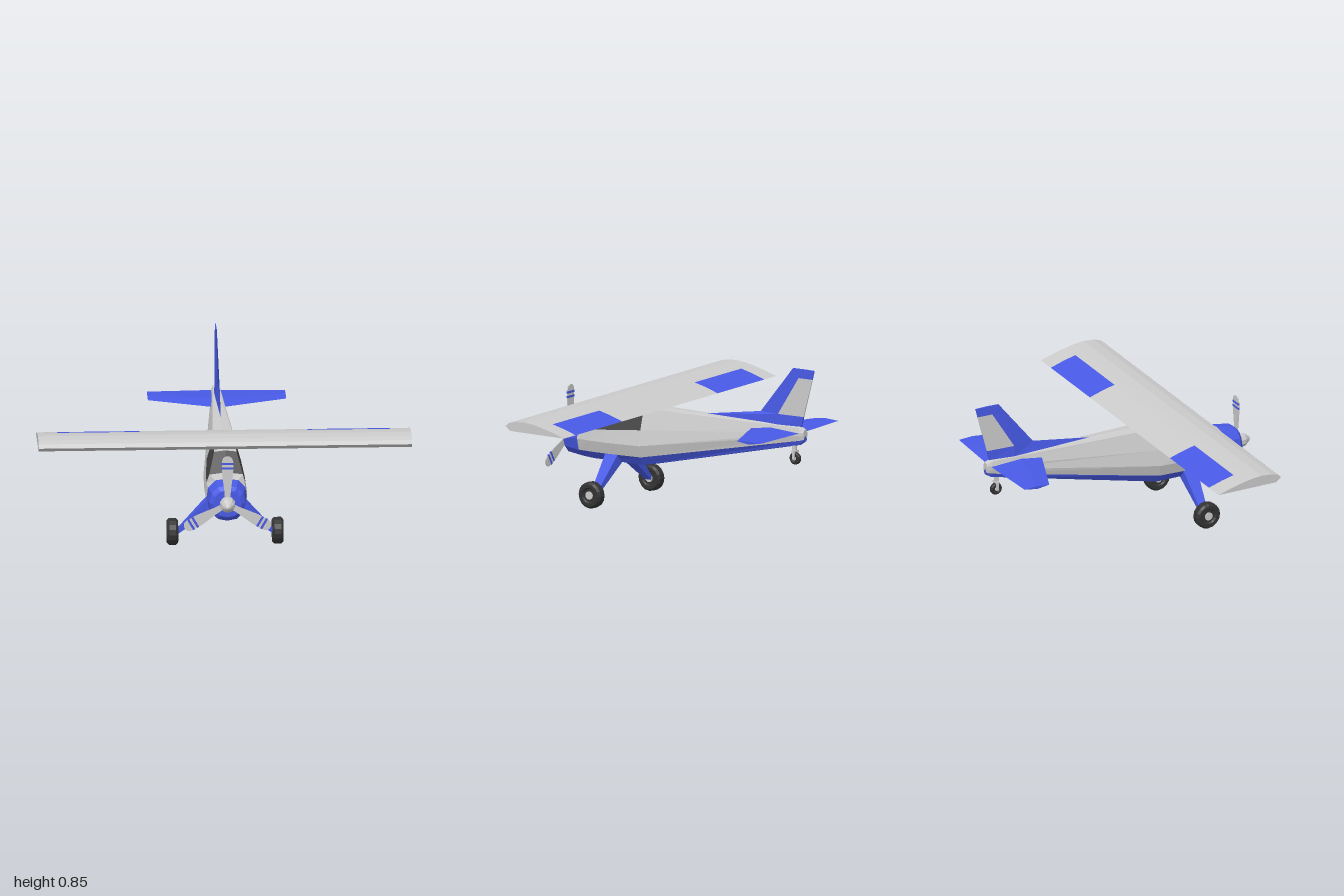
import * as THREE from 'three';

const mat = (color) => new THREE.MeshStandardMaterial({ color, flatShading: true });
const GREY = mat(0xcccccc), BLUE = mat(0x485ae6), GLASS = mat(0x444444), TYRE = mat(0x333333);

function add(parent, name, geometry, material, x = 0, y = 0, z = 0) {
  const m = new THREE.Mesh(geometry, material);
  m.name = name;
  m.position.set(x, y, z);
  parent.add(m);
  return m;
}

// Skin a row of closed rings, cap both ends, and split the faces by material.
function loft(name, rings, paint) {
  const buckets = new Map();
  let volume = 0;
  const tri = (material, a, b, c) => {
    if (!buckets.has(material)) buckets.set(material, []);
    buckets.get(material).push([a, b, c]);
    volume += a.dot(b.clone().cross(c));
  };
  const n = rings[0].length;
  for (let i = 0; i < rings.length - 1; i++) {
    for (let j = 0; j < n; j++) {
      const k = (j + 1) % n, p = rings[i], q = rings[i + 1], m = paint(i, j);
      tri(m, p[j], p[k], q[k]);
      tri(m, p[j], q[k], q[j]);
    }
  }
  const last = rings.length - 1;
  for (const [ring, i, flip] of [[rings[0], 0, true], [rings[last], last - 1, false]]) {
    const mid = ring.reduce((s, p) => s.add(p), new THREE.Vector3()).divideScalar(n);
    for (let j = 0; j < n; j++) {
      const a = ring[j], b = ring[(j + 1) % n];
      tri(paint(i, j), mid, flip ? b : a, flip ? a : b);
    }
  }
  const group = new THREE.Group();
  group.name = name;
  for (const [material, tris] of buckets) {
    const pts = tris.flatMap(([a, b, c]) => (volume < 0 ? [a, c, b] : [a, b, c]));
    const g = new THREE.BufferGeometry().setFromPoints(pts);
    g.computeVertexNormals();
    add(group, name + 'Skin', g, material);
  }
  return group;
}

const V = (x, y, z) => new THREE.Vector3(x, y, z);

// Half sections run bottom, bottom edge, stripe edge, side, sill, shoulder, top.
function fuselage() {
  const stations = [
    [0.755, [[0, .25], [.04, .258], [.065, .285], [.075, .325], [.064, .365], [.04, .393], [0, .4]]],
    [0.735, [[0, .225], [.05, .235], [.085, .27], [.098, .325], [.085, .378], [.05, .412], [0, .42]]],
    [0.64, [[0, .215], [.055, .224], [.092, .262], [.108, .325], [.1, .382], [.062, .422], [0, .431]]],
    [0.56, [[0, .212], [.06, .22], [.095, .262], [.113, .325], [.105, .385], [.09, .43], [0, .442]]],
    [0.47, [[0, .212], [.06, .22], [.095, .262], [.113, .325], [.103, .393], [.06, .53], [0, .537]]],
    [0.24, [[0, .212], [.06, .22], [.09, .266], [.108, .33], [.092, .415], [.058, .53], [0, .537]]],
    [-0.74, [[0, .435], [.012, .438], [.02, .46], [.025, .487], [.025, .505], [.018, .53], [0, .537]]],
    [-0.77, [[0, .455], [.008, .457], [.016, .468], [.018, .487], [.018, .505], [.012, .52], [0, .523]]],
  ];
  const rings = stations.map(([z, half]) => [
    ...half.map(([x, y]) => V(x, y, z)),
    ...half.slice(1, -1).reverse().map(([x, y]) => V(-x, y, z)),
  ]);
  return loft('fuselage', rings, (i, j) => {
    const row = Math.min(j, 11 - j);
    if (i < 2 || row < 2) return BLUE;
    if ((row === 4 && (i === 3 || i === 4)) || (row === 5 && i === 3)) return GLASS;
    return GREY;
  });
}

// Flat-bottomed wing with coloured ailerons on its upper face.
function wing() {
  const foil = [[.49, .565], [.47, .583], [.43, .593], [.37, .598], [.31, .592], [.26, .582],
    [.19, .565], [.11, .54], [.46, .541]];
  const rings = [-1, -.89, -.45, .45, .89, 1].map((x) => foil.map(([z, y]) => V(x, y, z)));
  return loft('wing', rings, (i, j) => ((i === 1 || i === 3) && (j === 5 || j === 6) ? BLUE : GREY));
}

function tailplane() {
  const ring = (x, front, crest, back, up, down) =>
    [V(x, .5, front), V(x, up, crest), V(x, .502, back), V(x, down, crest)];
  const rings = [-.37, 0, .37].map((x) =>
    x ? ring(x, -.58, -.65, -.73, .507, .49) : ring(x, -.43, -.56, -.747, .515, .482));
  return loft('tailplane', rings, () => BLUE);
}

// Fin stations: height, leading edge, rudder hinge, trailing edge, half thickness.
function fin() {
  const rings = [
    [.53, -.09, -.6, -.745, .016], [.59, -.48, -.6, -.76, .013],
    [.8, -.65, -.73, -.817, .007], [.85, -.69, -.755, -.83, .005],
  ].map(([y, front, hinge, back, t]) =>
    [V(0, y, front), V(t, y, hinge), V(t * .3, y, back), V(-t * .3, y, back), V(-t, y, hinge)]);
  return loft('fin', rings, (i, j) => (i === 1 && j > 0 && j < 4 ? GREY : BLUE));
}

// Three striped blades around a pointed spinner.
function propeller() {
  const group = new THREE.Group();
  group.name = 'propeller';
  group.position.set(0, .325, .757);
  const profile = [[0, -.01], [.042, -.01], [.042, .01], [.036, .045], [.014, .075], [0, .083]];
  const cone = new THREE.LatheGeometry(profile.map((p) => new THREE.Vector2(...p)), 10);
  add(group, 'spinner', cone.rotateX(Math.PI / 2), GREY);
  const half = [[.014, .02], [.018, .08], [.03, .17], [.031, .235], [.024, .256], [.01, .265]];
  const outline = [...half, ...half.map(([x, y]) => [-x, y]).reverse()];
  const shape = new THREE.Shape(outline.map((p) => new THREE.Vector2(...p)));
  const bladeGeo = new THREE.ExtrudeGeometry(shape, { depth: .006, bevelEnabled: false }).translate(0, 0, -.003);
  for (let i = 0; i < 3; i++) {
    const blade = new THREE.Group();
    blade.name = 'blade';
    blade.rotation.z = (i * Math.PI * 2) / 3;
    add(blade, 'bladeBody', bladeGeo, GREY);
    for (const r of [.2, .225]) add(blade, 'bladeStripe', new THREE.BoxGeometry(.063, .012, .008), BLUE, 0, r, 0);
    group.add(blade);
  }
  return group;
}

// Tyre with rounded shoulders and a pale hub, axle along x.
function wheel(name, radius, width) {
  const group = new THREE.Group();
  group.name = name;
  const w = width / 2;
  const profile = [[0, -w * .7], [.5, -w * .7], [.6, -w], [.85, -w], [1, -w * .6],
    [1, w * .6], [.85, w], [.6, w], [.5, w * .7], [0, w * .7]];
  const tyre = new THREE.LatheGeometry(profile.map(([r, y]) => new THREE.Vector2(r * radius, y)), 16);
  add(group, 'tyre', tyre.rotateZ(Math.PI / 2), TYRE);
  const hub = new THREE.CylinderGeometry(radius * .32, radius * .32, width * .9, 10);
  add(group, 'hub', hub.rotateZ(Math.PI / 2), GREY);
  return group;
}

function mainGear(side) {
  const group = new THREE.Group();
  group.name = side > 0 ? 'leftMainGear' : 'rightMainGear';
  const ring = (x1, y1, x2, y2, z1, z2) =>
    [V(side * x1, y1, z1), V(side * x1, y1, z2), V(side * x2, y2, z2), V(side * x2, y2, z1)];
  group.add(loft('leg', [
    ring(.07, .288, .04, .225, .385, .47),
    ring(.257, .085, .25, .066, .405, .445),
  ], () => BLUE));
  const tyre = wheel('mainWheel', .072, .06);
  tyre.position.set(side * .282, .073, .425);
  group.add(tyre);
  return group;
}

function tailGear() {
  const group = new THREE.Group();
  group.name = 'tailGear';
  const tyre = wheel('tailWheel', .033, .024);
  tyre.position.set(0, .358, -.705);
  group.add(tyre);
  add(group, 'strut', new THREE.BoxGeometry(.016, .05, .022), GREY, 0, .42, -.7);
  add(group, 'forkBridge', new THREE.BoxGeometry(.042, .008, .022), GREY, 0, .397, -.702);
  for (const s of [-1, 1]) add(group, 'forkArm', new THREE.BoxGeometry(.006, .045, .016), GREY, s * .018, .376, -.704);
  return group;
}

export function createModel() {
  const model = new THREE.Group();
  model.name = 'lightAircraft';
  model.add(fuselage(), wing(), tailplane(), fin(), propeller(), mainGear(1), mainGear(-1), tailGear());
  return model;
}
